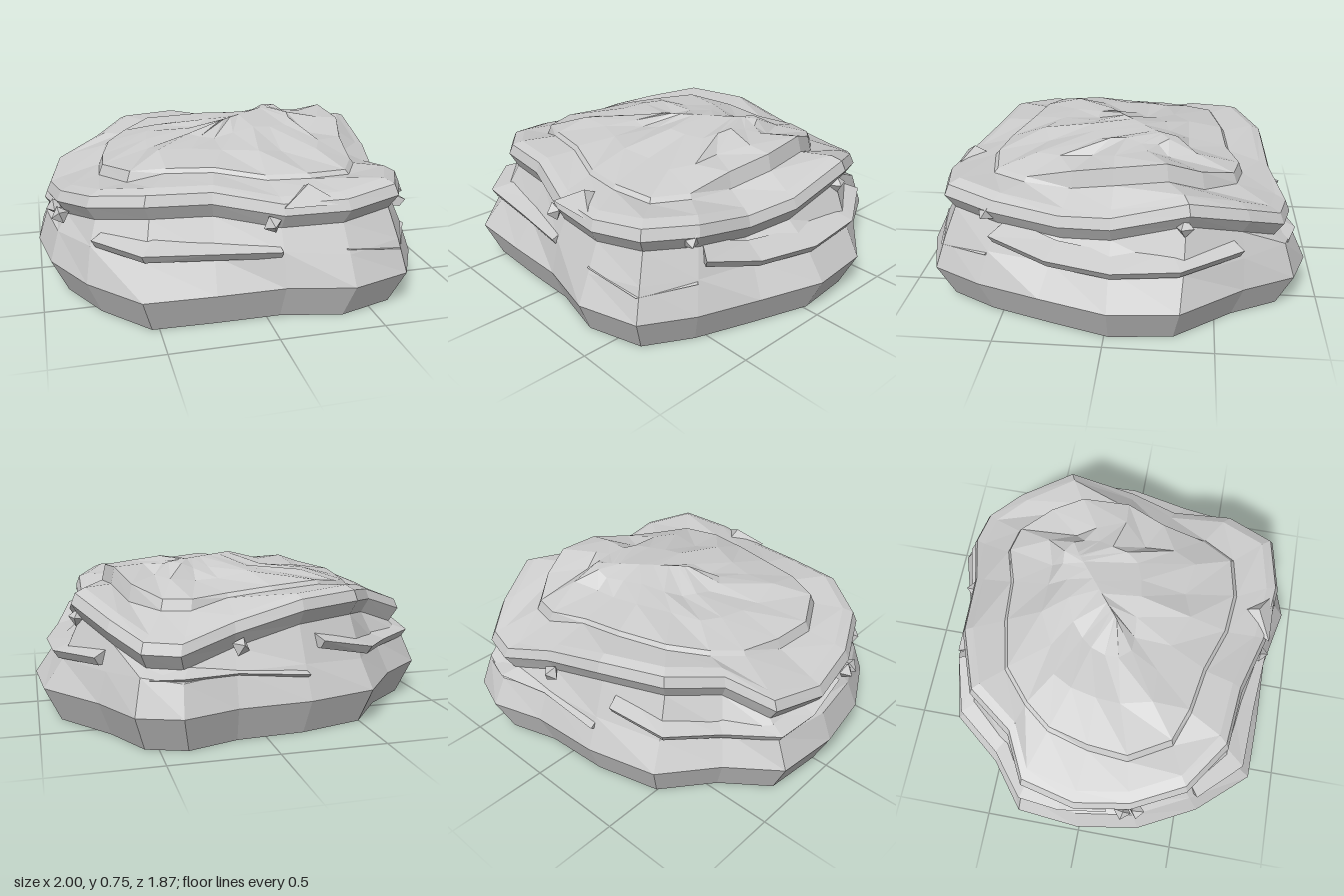
import * as THREE from 'three';

const mat = new THREE.MeshStandardMaterial({ color: 0xcccccc, flatShading: true });
const V = (x, y, z) => new THREE.Vector3(x, y, z);

// Widest outline of the rock (x, z), running left edge, back, right edge, front
const OUTLINE = [
  [-0.97, -0.32], [-0.74, -0.5], [-0.54, -0.75], [-0.2, -0.84], [0.15, -0.86],
  [0.41, -0.94], [0.61, -0.87], [0.74, -0.63], [0.97, -0.34], [1, -0.02],
  [0.9, 0.3], [0.8, 0.6], [0.67, 0.84], [0.38, 0.93], [0.07, 0.86],
  [-0.25, 0.86], [-0.58, 0.85], [-0.8, 0.6], [-0.95, 0.31], [-1, 0]];
// Top edge of the overhanging rim (x, y, z)
const RIM = [
  [-0.85, 0.51, -0.29], [-0.64, 0.59, -0.39], [-0.48, 0.63, -0.61], [-0.18, 0.62, -0.72], [0.14, 0.54, -0.75],
  [0.39, 0.47, -0.82], [0.55, 0.48, -0.78], [0.67, 0.55, -0.62], [0.8, 0.63, -0.36], [0.79, 0.54, -0.02],
  [0.73, 0.51, 0.22], [0.72, 0.57, 0.52], [0.61, 0.59, 0.75], [0.36, 0.56, 0.81], [0.07, 0.55, 0.78],
  [-0.23, 0.6, 0.69], [-0.52, 0.6, 0.66], [-0.75, 0.56, 0.5], [-0.87, 0.51, 0.25], [-0.91, 0.47, -0.02]];
// Edge of the raised crown (x, y, z)
const CROWN = [
  [-0.6, 0.61, -0.2], [-0.5, 0.63, -0.33], [-0.35, 0.66, -0.46], [-0.1, 0.65, -0.52], [0.12, 0.63, -0.54],
  [0.3, 0.62, -0.6], [0.43, 0.62, -0.57], [0.55, 0.67, -0.42], [0.61, 0.73, -0.26], [0.63, 0.71, -0.02],
  [0.57, 0.66, 0.18], [0.54, 0.61, 0.4], [0.45, 0.61, 0.56], [0.25, 0.62, 0.6], [0.05, 0.62, 0.58],
  [-0.18, 0.65, 0.5], [-0.4, 0.65, 0.46], [-0.56, 0.63, 0.4], [-0.67, 0.61, 0.2], [-0.65, 0.6, 0]];

// Faceted skin through a list of equal-length closed rings
function loft(rings) {
  const pos = [];
  const n = rings[0].length;
  const tri = (...pts) => pts.forEach((p) => pos.push(p.x, p.y, p.z));
  for (let i = 0; i + 1 < rings.length; i++) {
    for (let j = 0; j < n; j++) {
      const k = (j + 1) % n;
      const a = rings[i][j], b = rings[i][k], c = rings[i + 1][k], d = rings[i + 1][j];
      if (c.distanceTo(d) > 1e-5) tri(a, d, c);
      if (a.distanceTo(b) > 1e-5) tri(a, c, b);
    }
  }
  const geo = new THREE.BufferGeometry();
  geo.setAttribute('position', new THREE.Float32BufferAttribute(pos, 3));
  geo.computeVertexNormals();
  return geo;
}

// Ledge: a blunt-ended, slightly undercut strip along its outer top edge
function ledge(points, thick, depth) {
  const rows = points.map((point) => {
    const p = V(...point);
    const inward = V(-p.x, 0, -p.z).setLength(depth);
    const inner = p.clone().add(inward);
    const drop = V(0, -thick, 0);
    return [
      inner.clone().add(drop), p.clone().add(drop).addScaledVector(inward, 0.2),
      p, inner.add(V(0, 0.04, 0))];
  });
  // Close the two ends
  const cap = (row) => row.map(() => row.reduce((s, p) => s.add(p), V(0, 0, 0)).multiplyScalar(0.25));
  return loft([cap(rows[0]), ...rows, cap(rows[rows.length - 1])]);
}

export function createModel() {
  const group = new THREE.Group();
  const add = (name, geo, material = mat) => {
    const mesh = new THREE.Mesh(geo, material);
    mesh.name = name;
    group.add(mesh);
    return mesh;
  };

  // Rock body: base, flared foot, wall, overhanging rim, shelf, crown, ridge
  const ring = (fn) => OUTLINE.map((o, j) => fn(o, RIM[j], CROWN[j], j));
  const rimRing = (scale, lift) => ring((o, r) => V(r[0] * scale, r[1] + lift, r[2] * scale));
  const wobble = (j) => Math.sin(j * 2.3) * 0.014;
  const stepHeight = (j) => {
    if (j >= 7 && j <= 10) return 0.08;
    return j >= 17 || j === 5 || j === 6 ? 0.05 : 0.02;
  };
  add('rockBody', loft([
    ring(() => V(0, 0, 0)),
    ring((o) => V(o[0] * 0.92, 0, o[1] * 0.92)),
    ring((o) => V(o[0], 0.17, o[1])),
    ring((o, r, c, j) => V(
      THREE.MathUtils.lerp(o[0], r[0], 0.55), 0.32 + wobble(j), THREE.MathUtils.lerp(o[1], r[2], 0.55))),
    rimRing(0.985, -0.12),
    rimRing(1.035, -0.05),
    rimRing(1.01, 0),
    rimRing(0.95, 0.02),
    ring((o, r, c, j) => V(c[0] * 1.03, c[1] - stepHeight(j), c[2] * 1.03)),
    ring((o, r, c) => V(...c)),
    ring((o, r, c, j) => V(
      c[0] * (0.72 + wobble(j) * 4) + 0.03, c[1] * 0.5 + 0.36 + wobble(j + 3), c[2] * (0.64 + wobble(j) * 4))),
    ring((o, r, c, j) => V(
      c[0] * 0.46 + 0.09, 0.715 + c[0] * 0.04 + wobble(j * 2), c[2] * 0.34 - 0.06 - c[0] * 0.1)),
    ring((o, r, c) => V(c[0] * 0.25 + 0.13, 0.75, -0.1 - c[0] * 0.2)),
  ]));

  // Ledges jutting from the wall: thickness, then outer top edge
  const twoSided = mat.clone();
  twoSided.side = THREE.DoubleSide;
  const ledges = {
    frontLedge: [0.04, [-0.77, 0.375, 0.58], [-0.57, 0.365, 0.79], [-0.25, 0.35, 0.81], [0.06, 0.34, 0.84]],
    leftLedge: [0.04, [0.79, 0.42, 0.54], [0.87, 0.35, 0.27], [0.94, 0.34, -0.03], [0.92, 0.355, -0.34], [0.75, 0.38, -0.62]],
    rightLedge: [0.04, [-0.93, 0.42, 0.14], [-0.955, 0.36, -0.1], [-0.93, 0.345, -0.31], [-0.72, 0.345, -0.48], [-0.55, 0.37, -0.7], [-0.28, 0.43, -0.77]],
    backLedge: [0.02, [-0.2, 0.29, -0.82], [0.14, 0.32, -0.82], [0.4, 0.33, -0.885], [0.56, 0.32, -0.83]],
    cornerLedge: [0.012, [0.36, 0.33, 0.86], [0.64, 0.285, 0.815], [0.77, 0.31, 0.57]],
  };
  for (const [name, [thick, ...path]] of Object.entries(ledges)) {
    add(name, ledge(path, thick, 0.13), twoSided);
  }

  // Small pointed stones under the rim
  const stones = [
    [0.02, 0.46, 0.79], [0.71, 0.5, 0.56], [-0.89, 0.4, 0.29],
    [-0.91, 0.42, 0.22], [0.8, 0.51, -0.35], [0.12, 0.43, -0.78]];
  stones.forEach(([x, y, z], i) => {
    const stone = add('stone', new THREE.OctahedronGeometry(0.045));
    stone.position.set(x, y, z);
    stone.rotation.set(i * 0.7, Math.atan2(x, z), 0.4);
  });

  // Wedge of rock resting on the front lip
  const wedge = add('frontWedge', new THREE.ConeGeometry(0.16, 0.08, 3));
  wedge.position.set(0.2, 0.58, 0.74);
  wedge.rotation.y = Math.PI;

  return group;
}
